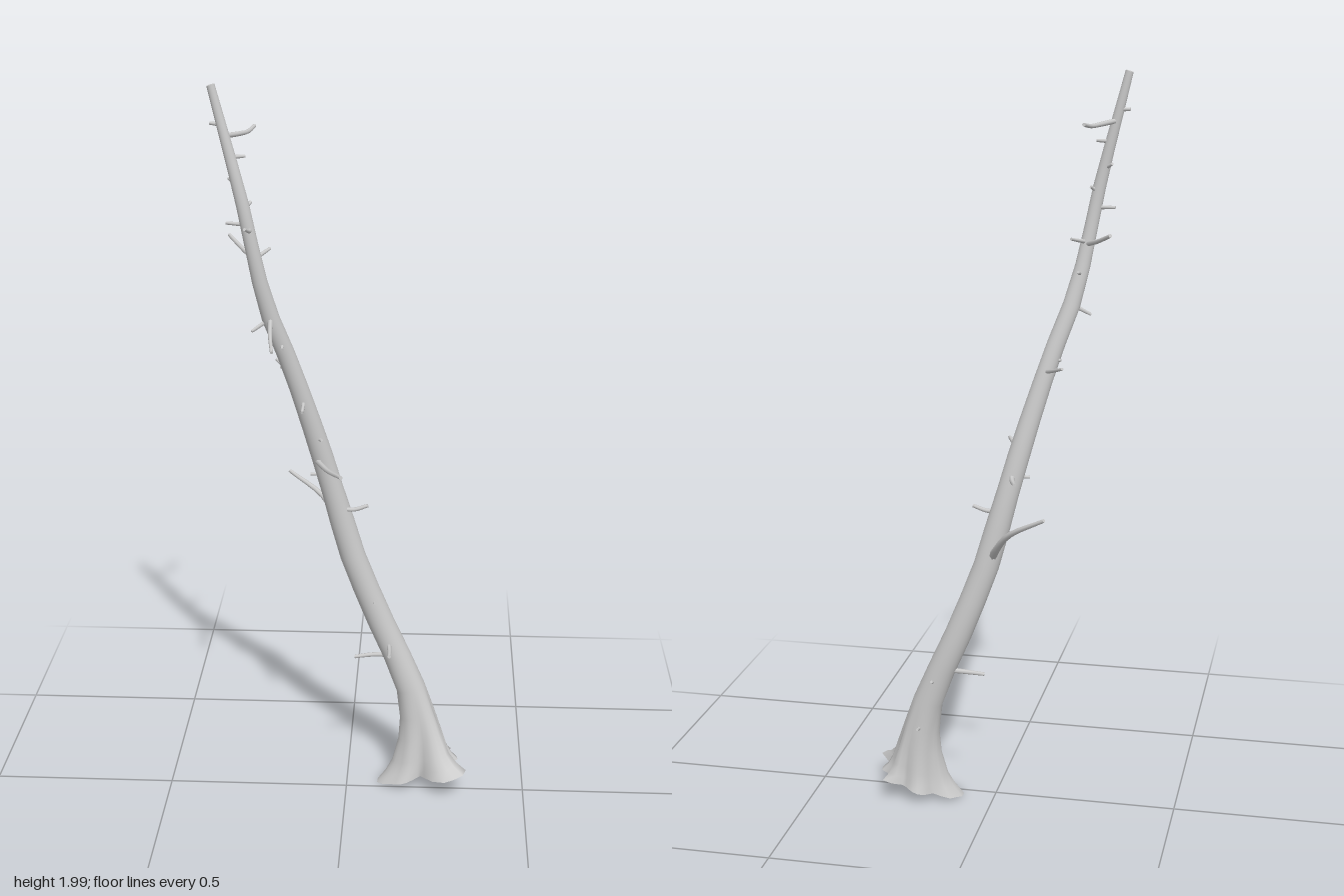
import * as THREE from 'three';

const V = (x, y, z) => new THREE.Vector3(x, y, z);
const material = new THREE.MeshStandardMaterial({ color: 0xcccccc, side: THREE.DoubleSide });

// Skin a series of closed rings, with an optional cap on the last one
function loft(rings, name, cap = true) {
  const n = rings[0].length, pts = rings.flat(), index = [];
  for (let i = 0; i < rings.length - 1; i++) {
    for (let j = 0; j < n; j++) {
      const k = (j + 1) % n, a = i * n, b = a + n;
      index.push(a + j, b + j, a + k, a + k, b + j, b + k);
    }
  }
  if (cap) {
    const last = rings[rings.length - 1], base = pts.length;
    const centre = last.reduce((s, p) => s.add(p), V(0, 0, 0)).divideScalar(n);
    pts.push(...last, centre);
    for (let j = 0; j < n; j++) index.push(base + j, base + n, base + (j + 1) % n);
  }
  const geometry = new THREE.BufferGeometry().setFromPoints(pts);
  geometry.setIndex(index);
  geometry.computeVertexNormals();
  const mesh = new THREE.Mesh(geometry, material);
  mesh.name = name;
  return mesh;
}

// Root outline at the cut: angle in degrees (from +x towards +z), radius
const lobes = [[-22, 0.08], [-5, 0.11], [14, 0.085], [35, 0.158], [52, 0.146], [90, 0.047], [139, 0.093],
  [173, 0.126], [197, 0.105], [222, 0.065], [260, 0.08], [297, 0.065], [319, 0.113], [338, 0.08]];
function lobeRadius(deg) {
  const a = deg > 338 ? deg - 360 : deg;
  const i = Math.max(1, lobes.findIndex(l => l[0] >= a));
  const [a0, r0] = lobes[i - 1], [a1, r1] = lobes[i];
  return THREE.MathUtils.lerp(r0, r1, THREE.MathUtils.smoothstep(a, a0, a1));
}

// Trunk stations: x, y, z, radius, root flare
const stations = [
  [0.21, 0.047, -0.045, 0.05, 1], [0.21, 0.07, -0.046, 0.05, 0.68], [0.21, 0.1, -0.048, 0.05, 0.42],
  [0.207, 0.16, -0.052, 0.046, 0.2], [0.198, 0.22, -0.057, 0.042, 0.08], [0.178, 0.3, -0.06, 0.039, 0],
  [0.137, 0.4, -0.064, 0.036, 0], [0.092, 0.5, -0.065, 0.035, 0], [0.052, 0.6, -0.06, 0.034, 0],
  [0.015, 0.7, -0.055, 0.033, 0], [-0.013, 0.8, -0.05, 0.032, 0], [-0.04, 0.9, -0.041, 0.029, 0],
  [-0.067, 1.0, -0.03, 0.028, 0], [-0.095, 1.1, -0.012, 0.026, 0], [-0.125, 1.2, 0.003, 0.024, 0],
  [-0.157, 1.3, 0.022, 0.023, 0], [-0.193, 1.4, 0.043, 0.022, 0], [-0.218, 1.5, 0.06, 0.019, 0],
  [-0.237, 1.6, 0.071, 0.017, 0], [-0.256, 1.7, 0.076, 0.016, 0], [-0.28, 1.8, 0.075, 0.014, 0],
  [-0.306, 1.9, 0.069, 0.012, 0], [-0.33, 1.997, 0.07, 0.01, 0]];
const SIDES = 36;
function trunk() {
  const rings = stations.map(([x, y, z, r, flare]) => Array.from({ length: SIDES }, (_, j) => {
    const deg = j * 360 / SIDES, a = deg * Math.PI / 180;
    const radius = THREE.MathUtils.lerp(r, lobeRadius(deg), flare);
    const dx = Math.cos(a) * radius;
    return V(x + dx, y + dx * 0.3, z + Math.sin(a) * radius);
  }));
  return loft(rings, 'trunk');
}

// Tapered branch swept along a curve
function branch(points, r0, r1, name) {
  const curve = new THREE.CatmullRomCurve3(points.map(p => V(...p)));
  const steps = points.length > 2 ? 10 : 3, sides = 7;
  const { normals, binormals } = curve.computeFrenetFrames(steps, false);
  const rings = normals.map((n, i) => {
    const c = curve.getPointAt(i / steps), r = THREE.MathUtils.lerp(r0, r1, i / steps);
    return Array.from({ length: sides }, (_, j) => {
      const a = j / sides * Math.PI * 2;
      return c.clone().addScaledVector(n, r * Math.cos(a)).addScaledVector(binormals[i], -r * Math.sin(a));
    });
  });
  return loft(rings, name);
}

// Long dead branches: path, start radius, end radius
const branches = [
  [[[0.0, 0.72, -0.055], [-0.025, 0.765, -0.115], [-0.07, 0.825, -0.168], [-0.17, 0.885, -0.215]], 0.012, 0.005],
  [[[-0.193, 1.4, 0.045], [-0.187, 1.38, 0.13], [-0.176, 1.358, 0.213]], 0.007, 0.004],
  [[[-0.08, 0.988, -0.02], [-0.045, 0.992, 0.07], [-0.007, 1.004, 0.15]], 0.008, 0.005],
  [[[-0.05, 0.955, -0.04], [-0.06, 0.945, -0.08], [-0.073, 0.945, -0.115]], 0.008, 0.005],
  [[[-0.298, 1.872, 0.07], [-0.265, 1.867, 0.005], [-0.25, 1.866, -0.03], [-0.238, 1.873, -0.075]], 0.007, 0.005],
  [[[-0.225, 1.555, 0.065], [-0.265, 1.572, 0.005], [-0.305, 1.595, -0.05]], 0.007, 0.005],
  [[[-0.13, 1.225, 0.0], [-0.16, 1.238, -0.04], [-0.19, 1.252, -0.078]], 0.006, 0.004],
  [[[0.115, 0.437, -0.06], [0.119, 0.438, 0.0], [0.12, 0.443, 0.047]], 0.007, 0.005],
  [[[0.13, 0.395, -0.065], [0.07, 0.393, -0.066], [0.02, 0.388, -0.06]], 0.008, 0.005],
  [[[-0.02, 0.845, -0.035], [0.02, 0.845, -0.03], [0.057, 0.857, -0.031]], 0.007, 0.005],
  [[[-0.24, 1.638, 0.075], [-0.238, 1.64, 0.105], [-0.246, 1.652, 0.135]], 0.006, 0.004]];

// Short stubs: start and end
const stubs = [
  [[-0.112, 1.165, 0.0], [-0.112, 1.152, 0.067]], [[-0.306, 1.9, 0.069], [-0.335, 1.902, 0.064]],
  [[-0.282, 1.82, 0.073], [-0.248, 1.822, 0.066]], [[-0.27, 1.75, 0.075], [-0.292, 1.764, 0.055]],
  [[-0.252, 1.69, 0.075], [-0.237, 1.705, 0.055]], [[-0.245, 1.65, 0.074], [-0.3, 1.652, 0.065]],
  [[-0.23, 1.56, 0.066], [-0.195, 1.575, 0.01]], [[-0.215, 1.475, 0.057], [-0.212, 1.487, 0.025]],
  [[-0.2, 1.395, 0.043], [-0.24, 1.37, 0.066]], [[-0.165, 1.33, 0.028], [-0.163, 1.322, 0.065]],
  [[-0.145, 1.26, 0.015], [-0.172, 1.256, 0.005]], [[-0.085, 1.05, -0.02], [-0.065, 1.058, 0.012]],
  [[-0.06, 0.945, -0.035], [-0.098, 0.945, -0.03]], [[0.065, 0.565, -0.06], [0.078, 0.57, -0.025]],
  [[0.195, 0.225, -0.08], [0.195, 0.235, -0.122]], [[0.155, 0.36, -0.08], [0.157, 0.372, -0.107]]];

export function createModel() {
  const group = new THREE.Group();
  group.name = 'deadTree';
  group.add(trunk());
  branches.forEach(([path, r0, r1]) => group.add(branch(path, r0, r1, 'branch')));
  stubs.forEach(path => group.add(branch(path, 0.006, 0.004, 'branchStub')));
  return group;
}
